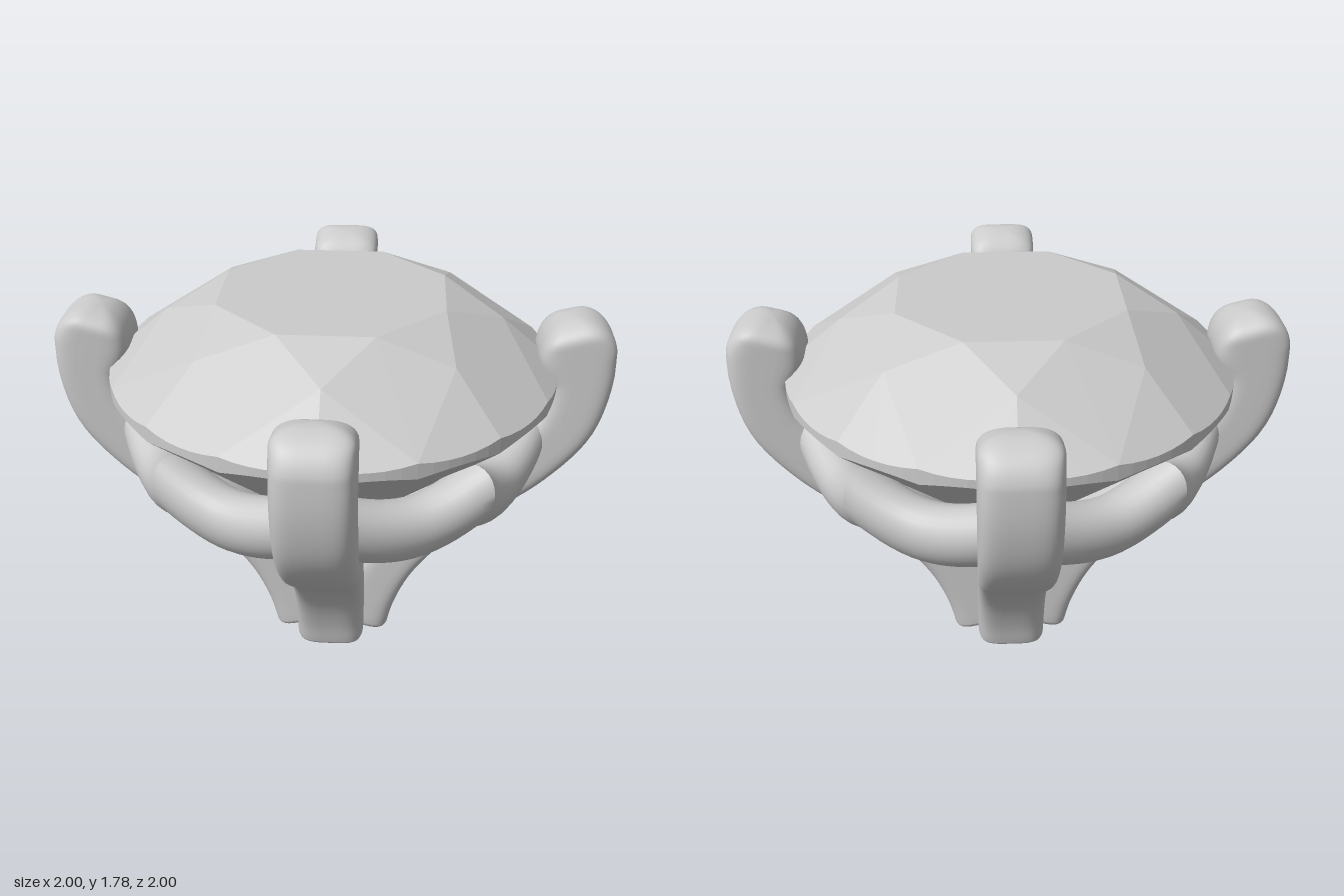
import * as THREE from 'three';
import { toCreasedNormals } from 'three/addons/utils/BufferGeometryUtils.js';

const V = (x, y, z) => new THREE.Vector3(x, y, z);
const polar = (r, deg, y) => V(r * Math.cos(deg * Math.PI / 180), y, r * Math.sin(deg * Math.PI / 180));

// Skin a list of equal-length cross-sections; loop joins last to first
function loft(sections, loop) {
  const n = sections[0].length, m = sections.length, index = [];
  for (let i = 0; i < (loop ? m : m - 1); i++) {
    for (let j = 0; j < n; j++) {
      const a = i * n + j, b = i * n + (j + 1) % n;
      const c = ((i + 1) % m) * n + j, d = ((i + 1) % m) * n + (j + 1) % n;
      index.push(a, b, d, a, d, c);
    }
  }
  const geo = new THREE.BufferGeometry().setFromPoints(sections.flat());
  geo.setIndex(index);
  geo.computeVertexNormals();
  return geo;
}

// Round brilliant: table, star, bezel, girdle and pavilion facets
function gemGeometry() {
  const points = [], centre = V(0, 1.3, 0);
  const tri = (a, b, c) => {
    const normal = b.clone().sub(a).cross(c.clone().sub(a));
    const mid = a.clone().add(b).add(c).divideScalar(3).sub(centre);
    if (normal.dot(mid) > 0) points.push(a, b, c);
    else points.push(a, c, b);
  };
  const table = a => polar(0.53, a, 1.775), star = a => polar(0.745, a, 1.666);
  const low = a => polar(0.25, a, 0.73);
  const culet = V(0, 0.53, 0), top = V(0, 1.775, 0);

  // arc of the girdle, cut by the plane of the adjoining facet
  const arc = (apex, a0, a1, y) => {
    const plane = new THREE.Plane().setFromCoplanarPoints(apex, polar(1, a0, y), polar(1, a1, y));
    return Array.from({ length: 7 }, (_, i) => {
      const p = polar(1, a0 + (a1 - a0) * i / 6, 0);
      p.y = -(plane.normal.x * p.x + plane.normal.z * p.z + plane.constant) / plane.normal.y;
      return p;
    });
  };

  for (let k = 0; k < 8; k++) {
    const axis = k * 45, main = axis + 22.5;
    tri(top, table(main), table(main + 45));
    tri(table(main), table(main - 45), star(axis));
    // bezel kite and pavilion main
    tri(table(main), star(axis), polar(1, main, 1.455));
    tri(table(main), star(axis + 45), polar(1, main, 1.455));
    tri(culet, low(axis), polar(1, main, 1.385));
    tri(culet, low(axis + 45), polar(1, main, 1.385));
    // half facets and girdle wall on each side of the axis
    for (const s of [-22.5, 22.5]) {
      const upper = arc(star(axis), axis, axis + s, 1.455);
      const lower = arc(low(axis), axis, axis + s, 1.385);
      for (let i = 0; i < 6; i++) {
        tri(star(axis), upper[i], upper[i + 1]);
        tri(low(axis), lower[i], lower[i + 1]);
        tri(upper[i], upper[i + 1], lower[i]);
        tri(upper[i + 1], lower[i + 1], lower[i]);
      }
    }
  }
  const geo = new THREE.BufferGeometry().setFromPoints(points);
  geo.computeVertexNormals();
  return geo;
}

// Curved claw with a rounded-square section, swept in the x-y plane
function prongGeometry() {
  // x, y = path; z = half thickness
  const path = new THREE.CatmullRomCurve3([
    V(0.115, 0.008, 0.16), V(0.175, 0.2, 0.148), V(0.283, 0.41, 0.135), V(0.445, 0.61, 0.13),
    V(0.67, 0.81, 0.13), V(0.897, 1.0, 0.135), V(1.052, 1.2, 0.14), V(1.1, 1.4, 0.145),
    V(1.075, 1.53, 0.175), V(1.035, 1.687, 0.185),
  ], false, 'centripetal');
  const length = path.getLength();
  const round = (d, r, p) => d >= r ? 1 : Math.max(0.002, (1 - (1 - d / r) ** p) ** (1 / p));
  const power = v => Math.sign(v) * Math.abs(v) ** (2 / 4.2);
  const steps = [];
  for (let i = 0; i < 9; i++) steps.push(0.03 * (1 - Math.cos(i / 8 * Math.PI / 2)));
  for (let i = 1; i < 40; i++) steps.push(0.03 + i / 40 * 0.86);
  for (let i = 0; i < 21; i++) steps.push(0.89 + 0.11 * Math.sin(i / 20 * Math.PI / 2));
  const sections = steps.map(u => {
    const p = path.getPointAt(u), t = path.getTangentAt(u);
    const l = Math.hypot(t.x, t.y), tx = t.x / l, ty = t.y / l;
    // small radius at the foot, half-round tip with softened sides
    const foot = round(u * length, 0.065, 2.2), rest = (1 - u) * length;
    const halfN = p.z * foot * round(rest, 0.2, 2);
    const halfB = 0.163 * foot * round(rest, 0.085, 2.3);
    return Array.from({ length: 40 }, (_, j) => {
      const a = (j + 0.5) / 40 * Math.PI * 2;
      const n = power(Math.cos(a)) * halfN, b = power(Math.sin(a)) * halfB;
      return V(p.x + ty * n, p.y - tx * n, -b);
    });
  });
  return loft(sections, false);
}

// Scalloped band leaning outward with the stone, peaked midway between claws
function galleryGeometry() {
  const sections = [], count = 120, tilt = 0.6;
  for (let i = 0; i < count; i++) {
    const deg = i * 360 / count;
    const a = Math.abs(((deg + 45) % 90) - 45);
    const rise = (a < 18 ? (18 - a) / 18 : (a - 18) / 25) ** 1.8;
    const y = 1.015 + 0.1 * rise, radius = 0.795 + 0.057 * rise;
    const height = 0.164 + 0.02 * Math.min(rise, 1);
    sections.push(Array.from({ length: 28 }, (_, j) => {
      const t = j / 28 * Math.PI * 2, w = 0.125 * Math.cos(t), h = height * Math.sin(t);
      return polar(radius + w * Math.cos(tilt) + h * Math.sin(tilt), deg,
        y - w * Math.sin(tilt) + h * Math.cos(tilt));
    }));
  }
  return toCreasedNormals(loft(sections, true), 0.7);
}

export function createModel() {
  const model = new THREE.Group();
  model.name = 'gemSetting';
  const metal = new THREE.MeshStandardMaterial({ color: 0xcccccc });
  const stone = new THREE.MeshStandardMaterial({ color: 0xcccccc, flatShading: true });
  const add = (name, geo, material) => {
    const mesh = new THREE.Mesh(geo, material);
    mesh.name = name;
    model.add(mesh);
    return mesh;
  };

  add('gemstone', gemGeometry(), stone);
  add('galleryRing', galleryGeometry(), metal);

  // four claws on the diagonals
  const prong = prongGeometry();
  ['backLeftProng', 'backRightProng', 'frontRightProng', 'frontLeftProng'].forEach((name, i) => {
    add(name, prong, metal).rotation.y = Math.PI / 4 + i * Math.PI / 2;
  });
  return model;
}
